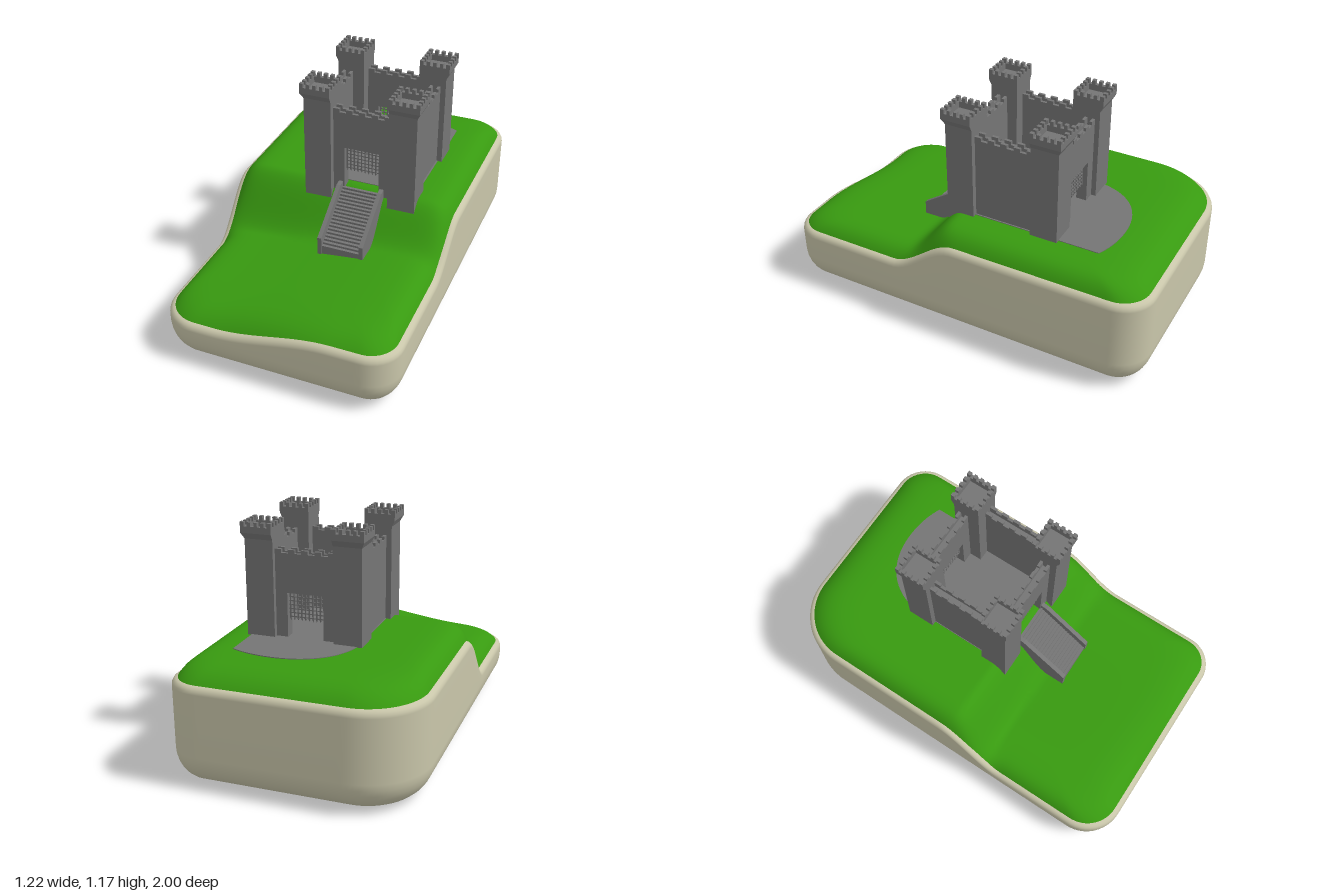
import * as THREE from 'three';
import { mergeGeometries } from 'three/addons/utils/BufferGeometryUtils.js';

const material = (name, color) => {
  const m = new THREE.MeshStandardMaterial({ color });
  m.name = name;
  return m;
};
const step = THREE.MathUtils.smoothstep;

// Heights of the terrain: low in front, a slope across x, a raised plateau behind
const mix = (low, high, t) => low + (high - low) * t;
const edgeHeight = (x, z) =>
  mix(0.24 + 0.09 * step(x, -0.3, 0.3), 0.52, 1 - step(z, 0, 0.36));
const grassHeight = (x, z) =>
  mix(0.31 + 0.09 * step(x, -0.6, 0.5), 0.602, 1 - step(z, 0.05, 0.29));

// Plan outline of the hill, with a normal per point so it can be inset
function hillOutline(count) {
  const path = new THREE.Shape();
  const corners = [[1, 1, 0.16], [-1, 1, 0.2], [-1, -1, 0.32], [1, -1, 0.17]];
  corners.forEach(([sx, sz, r], i) =>
    path.absarc(sx * (0.612 - r), sz * (1 - r), r, i * Math.PI / 2, (i + 1) * Math.PI / 2, false));
  path.closePath();
  const pts = path.getSpacedPoints(count).slice(0, count);
  return pts.map((p, i) => {
    const t = pts[(i + 1) % count].clone().sub(pts[(i + count - 1) % count]).normalize();
    return { x: p.x, z: p.y, nx: -t.y, nz: t.x };
  });
}

// Skin a list of closed rings of [x, y, z] points
function loft(rings) {
  const n = rings[0].length;
  const index = [];
  for (let j = 0; j < rings.length - 1; j++) {
    for (let i = 0; i < n; i++) {
      const a = j * n + i, b = j * n + (i + 1) % n, c = a + n, d = b + n;
      index.push(a, c, b, b, c, d);
    }
  }
  const g = new THREE.BufferGeometry();
  g.setAttribute('position', new THREE.Float32BufferAttribute(rings.flat(2), 3));
  g.setIndex(index);
  g.computeVertexNormals();
  return g;
}

// Box between two corners
function block(x0, x1, y0, y1, z0, z1) {
  return new THREE.BoxGeometry(Math.abs(x1 - x0), y1 - y0, Math.abs(z1 - z0))
    .translate((x0 + x1) / 2, (y0 + y1) / 2, (z0 + z1) / 2).toNonIndexed();
}

// Parapet strip with merlons along its longer side
function battlement(x0, x1, z0, z1, y0, y1, y2, merlons) {
  const parts = [block(x0, x1, y0, y1, z0, z1)];
  const alongX = Math.abs(x1 - x0) > Math.abs(z1 - z0);
  const unit = (alongX ? x1 - x0 : z1 - z0) / (merlons * 2 - 1);
  for (let i = 0; i < merlons; i++) {
    const a = (alongX ? x0 : z0) + unit * 2 * i;
    parts.push(alongX ? block(a, a + unit, y1, y2, z0, z1) : block(x0, x1, y1, y2, a, a + unit));
  }
  return parts;
}

export function createModel() {
  const model = new THREE.Group();
  const sand = material('sand', 0xc9c6aa);
  const grass = material('grass', 0x389a10);
  const stone = material('stone', 0x757575);
  const add = (name, geometry, mat) => {
    const mesh = new THREE.Mesh(Array.isArray(geometry) ? mergeGeometries(geometry) : geometry, mat);
    mesh.name = name;
    model.add(mesh);
    return mesh;
  };

  // Sand body: flat underside, rounded foot, wall, rounded rim
  const outline = hillOutline(220);
  const inset = (d, yAt) => outline.map(p => {
    const x = p.x + p.nx * d, z = p.z + p.nz * d;
    return [x, yAt(x, z), z];
  });
  const sandRings = [outline.map(() => [0, 0, 0]), inset(0.155, () => 0)];
  for (let i = 0; i <= 8; i++) {
    const a = i / 8 * Math.PI / 2;
    sandRings.push(inset(0.15 * (1 - Math.sin(a)), () => 0.003 + 0.165 * (1 - Math.cos(a))));
  }
  for (let i = 0; i <= 4; i++) {
    const a = i / 4 * Math.PI / 2;
    sandRings.push(inset(0.03 * (1 - Math.cos(a)), (x, z) => edgeHeight(x, z) - 0.035 * (1 - Math.sin(a))));
  }
  add('sandBody', loft(sandRings), sand);

  // Grass cap: rises quickly from the rim to the rolling top
  const rim = inset(0.026, () => 0);
  const grassRings = [];
  for (let j = 0; j <= 40; j++) {
    const k = 1 - Math.pow(j / 40, 1.5);
    const rise = 1 - Math.pow(k, 14);
    grassRings.push(rim.map(([rx, , rz]) => {
      const x = rx * k, z = rz * k;
      return [x, mix(edgeHeight(x, z) - 0.004, grassHeight(x, z), rise), z];
    }));
  }
  add('grassCap', loft(grassRings), grass);

  // Paved courtyard with a rounded apron behind the castle
  const paving = new THREE.Shape();
  paving.moveTo(-0.165, -0.03);
  paving.lineTo(0.385, -0.03);
  paving.lineTo(0.385, 0.68);
  paving.quadraticCurveTo(0.29, 0.725, 0.17, 0.725);
  paving.bezierCurveTo(0, 0.725, -0.13, 0.64, -0.165, 0.47);
  add('courtyardPaving', new THREE.ExtrudeGeometry(paving, { depth: 0.009, bevelEnabled: false, curveSegments: 16 })
    .rotateX(-Math.PI / 2).translate(0, 0.596, 0), stone);

  // Corner towers, flared on their outer sides
  const cx = 0.108, cz = -0.17, flare = 0.015;
  for (const sx of [-1, 1]) for (const sz of [-1, 1]) {
    const xi = cx + sx * 0.153, xo = cx + sx * 0.298;
    const zi = cz + sz * 0.155, zo = cz + sz * 0.3;
    const xf = xo + sx * flare, zf = zo + sz * flare;
    const corbel = block(xi, xo, 1.09, 1.12, zi, zo);
    const p = corbel.attributes.position;
    for (let i = 0; i < p.count; i++) {
      if (p.getY(i) < 1.1) continue;
      if (Math.abs(p.getX(i) - xo) < 0.01) p.setX(i, xf);
      if (Math.abs(p.getZ(i) - zo) < 0.01) p.setZ(i, zf);
    }
    corbel.computeVertexNormals();
    const t = 0.02;
    add((sz > 0 ? 'front' : 'back') + (sx > 0 ? 'Left' : 'Right') + 'Tower', [
      block(xi, xo, 0.45, 1.09, zi, zo), corbel,
      ...battlement(xi, xf, zi, zi + sz * t, 1.12, 1.152, 1.174, 5),
      ...battlement(xi, xf, zf - sz * t, zf, 1.12, 1.152, 1.174, 5),
      ...battlement(xi, xi + sx * t, zi, zf, 1.12, 1.152, 1.174, 5),
      ...battlement(xf - sx * t, xf, zi, zf, 1.12, 1.152, 1.174, 5),
    ], stone);
  }

  // Side walls with a walkway between two parapets
  for (const sx of [-1, 1]) {
    const xo = cx + sx * 0.27, xi = cx + sx * 0.215;
    add(sx > 0 ? 'leftWall' : 'rightWall', [
      block(xi, xo, 0.5, 1.005, -0.325, -0.015),
      ...battlement(xo - sx * 0.015, xo, -0.325, -0.015, 1.005, 1.028, 1.046, 5),
      ...battlement(xi, xi + sx * 0.015, -0.325, -0.015, 1.005, 1.028, 1.046, 5),
    ], stone);
  }

  // Front and back walls with a gateway and a raised portcullis
  const gate = new THREE.Shape([
    [-0.045, 0.5], [0.015, 0.5], [0.015, 0.83], [0.201, 0.83], [0.201, 0.5], [0.261, 0.5],
    [0.261, 1.005], [-0.045, 1.005],
  ].map(([x, y]) => new THREE.Vector2(x, y)));
  for (const [side, z0] of [['front', 0.04], ['back', -0.445]]) {
    const z1 = z0 + 0.055, zm = z0 + 0.0275;
    add(side + 'Wall', [
      new THREE.ExtrudeGeometry(gate, { depth: 0.055, bevelEnabled: false }).translate(0, 0, z0),
      ...battlement(-0.045, 0.261, z0, z0 + 0.015, 1.005, 1.028, 1.046, 5),
      ...battlement(-0.045, 0.261, z1 - 0.015, z1, 1.005, 1.028, 1.046, 5),
    ], stone);
    const bars = [];
    for (let i = 0; i < 10; i++) {
      const x = 0.0205 + i * 0.0194;
      bars.push(block(x - 0.0035, x + 0.0035, 0.698, 0.83, zm - 0.0035, zm + 0.0035));
      bars.push(new THREE.ConeGeometry(0.006, 0.014, 4).rotateX(Math.PI).translate(x, 0.691, zm).toNonIndexed());
    }
    for (let i = 0; i < 7; i++) {
      const y = 0.704 + i * 0.0202;
      bars.push(block(0.015, 0.201, y - 0.003, y + 0.003, zm - 0.003, zm + 0.003));
    }
    add(side + 'Portcullis', bars, stone);
  }

  // Stairs up to the gate, between sloping side walls
  const steps = [], count = 18;
  for (let i = 0; i < count; i++) {
    const z = 0.38 - i * 0.29 / count;
    steps.push(block(0.005, 0.21, 0.34, 0.4 + (i + 1) * 0.2 / count, z - 0.29 / count, z));
  }
  add('stairs', steps, stone);
  const rail = new THREE.Shape([
    [-0.385, 0.34], [-0.09, 0.34], [-0.09, 0.63], [-0.13, 0.625], [-0.385, 0.457],
  ].map(([x, y]) => new THREE.Vector2(x, y)));
  for (const [name, x] of [['leftStairWall', 0.23], ['rightStairWall', 0.007]]) {
    add(name, new THREE.ExtrudeGeometry(rail, { depth: 0.022, bevelEnabled: false })
      .rotateY(Math.PI / 2).translate(x - 0.022, 0, 0), stone);
  }

  return model;
}
